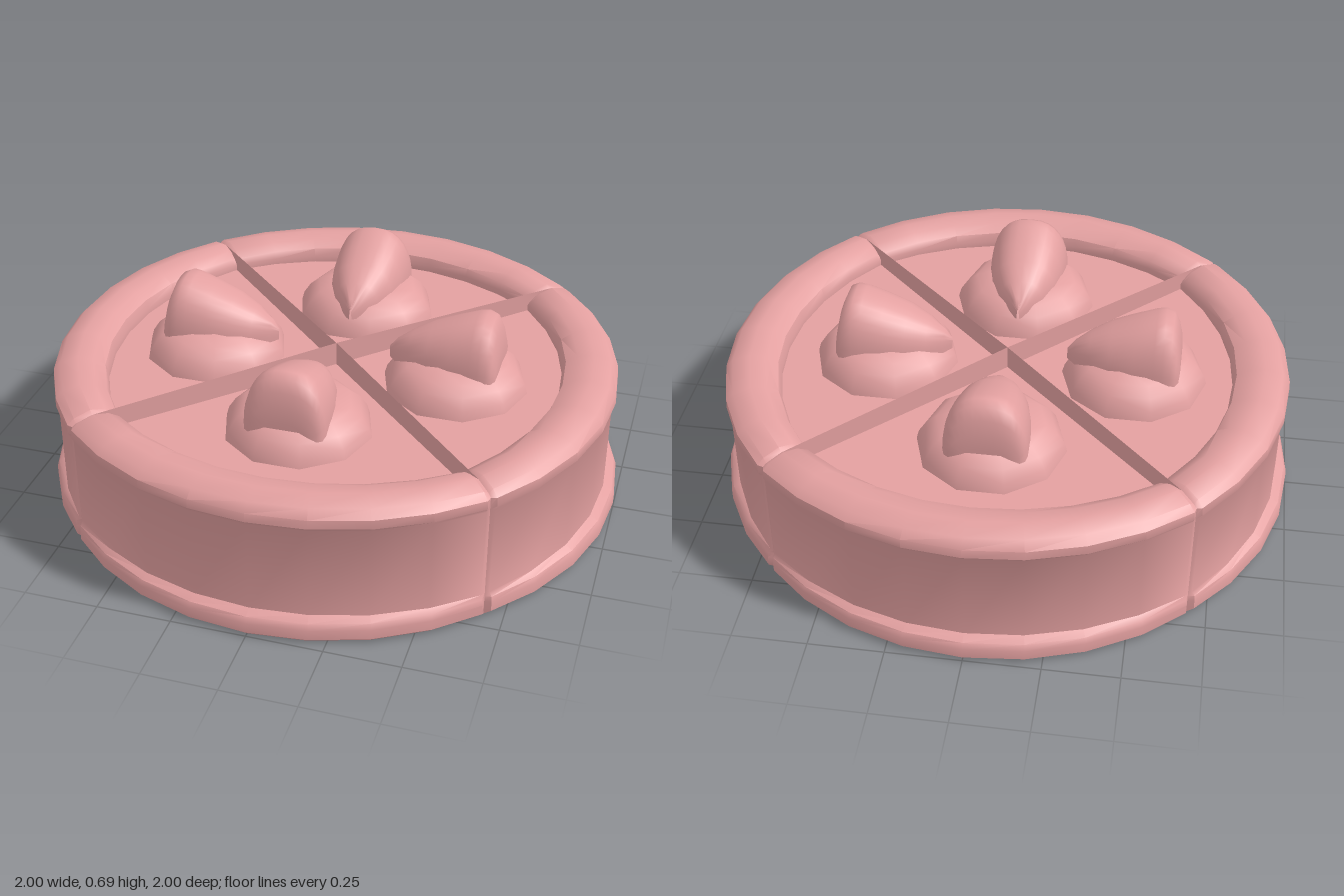
import * as THREE from 'three';
import { toCreasedNormals } from 'three/addons/utils/BufferGeometryUtils.js';

const material = new THREE.MeshStandardMaterial({ color: 0xe3a0a0 });

// Skin a list of equally long rows of [x, y, z] points
function skin(rows, crease) {
  const n = rows[0].length, index = [];
  for (let i = 0; i < rows.length - 1; i++) {
    for (let j = 0; j < n - 1; j++) {
      const a = i * n + j, b = a + n;
      index.push(a, b, b + 1, a, b + 1, a + 1);
    }
  }
  const g = new THREE.BufferGeometry();
  g.setAttribute('position', new THREE.Float32BufferAttribute(rows.flat(2), 3));
  g.setIndex(index);
  return toCreasedNormals(g, crease);
}

// Quarter profile: [radius mid-slice, radius at the cut, height]
const profile = [
  [0, 0, 0.005], [0.985, 0.97, 0.005], [1, 0.985, 0.02], [1, 0.985, 0.055], [0.99, 0.982, 0.075],
  [0.96, 0.974, 0.088], [0.96, 0.974, 0.41], [0.972, 0.982, 0.425], [0.97, 0.98, 0.455],
  [0.945, 0.957, 0.482], [0.885, 0.9, 0.498], [0.83, 0.85, 0.488], [0.79, 0.815, 0.465],
  [0.78, 0.806, 0.435], [0.78, 0.806, 0.413], [0, 0, 0.413],
];

// Slice swept about the centre, closed by flat cut faces; the rim and foot round off at both cuts
function sliceGeometry() {
  const angles = [-45, -44, -33.75, -22.5, -11.25, 0, 11.25, 22.5, 33.75, 44, 45];
  const rows = angles.map((deg) => {
    const a = THREE.MathUtils.degToRad(deg), s = (deg / 45) ** 2, atCut = s === 1;
    return profile.map(([mid, cut, y]) => {
      const r = Math.min(mid + (cut - mid) * s, atCut ? 0.97 : 1);
      const drop = y > 0.46 ? (atCut ? 0.018 : 0.008 * s) : 0;
      return [r * Math.sin(a), y - drop, r * Math.cos(a)];
    });
  });
  const axis = profile.map(([, , y]) => [0, y, 0]);
  return skin([axis, ...rows, axis], 0.7);
}

// Half berry: arched sections from the inner tip to the blunt outer end
function berryGeometry() {
  const sections = [ // z, half width, top
    [0.2, 0.004, 0.52], [0.225, 0.035, 0.55], [0.28, 0.083, 0.588], [0.35, 0.117, 0.626],
    [0.43, 0.134, 0.658], [0.5, 0.14, 0.685], [0.53, 0.14, 0.69], [0.557, 0.138, 0.677],
    [0.575, 0.131, 0.635], [0.587, 0.115, 0.58], [0.59, 0.08, 0.53], [0.59, 0.002, 0.49],
  ];
  const base = 0.48, steps = 16;
  const rows = sections.map(([z, w, top]) => Array.from({ length: steps + 1 }, (_, k) => {
    const t = Math.PI * (1 - k / steps), c = Math.cos(t);
    return [w * Math.sign(c) * Math.abs(c) ** 0.8, base + (top - base) * Math.abs(Math.sin(t)) ** 0.85, z];
  }));
  return skin(rows, 0.9);
}

// Soft mound of cream under each berry
function creamGeometry() {
  const pts = [[0.25, 0.41], [0.24, 0.445], [0.215, 0.483], [0.18, 0.512], [0.12, 0.535], [0, 0.545]];
  return new THREE.LatheGeometry(pts.map(([r, y]) => new THREE.Vector2(r, y)), 10).rotateY(Math.PI / 2);
}

export function createModel() {
  const model = new THREE.Group();
  const slice = sliceGeometry(), berry = berryGeometry(), cream = creamGeometry();
  const add = (name, geometry, angle, x = 0, z = 0) => {
    const mesh = new THREE.Mesh(geometry, material);
    mesh.name = name;
    mesh.rotation.y = angle;
    mesh.position.set(x, 0, z);
    model.add(mesh);
  };
  // Toppings sit a touch off centre
  const sides = [
    ['front', -0.008, 0.412], ['left', 0.425, 0.004],
    ['back', -0.008, -0.422], ['right', -0.44, 0.004],
  ];
  sides.forEach(([side, x, z], i) => {
    const angle = i * Math.PI / 2;
    add(side + 'Slice', slice, angle);
    add(side + 'Cream', cream, 0, x, z);
    add(side + 'Berry', berry, angle, -0.008, -0.002);
  });
  return model;
}
